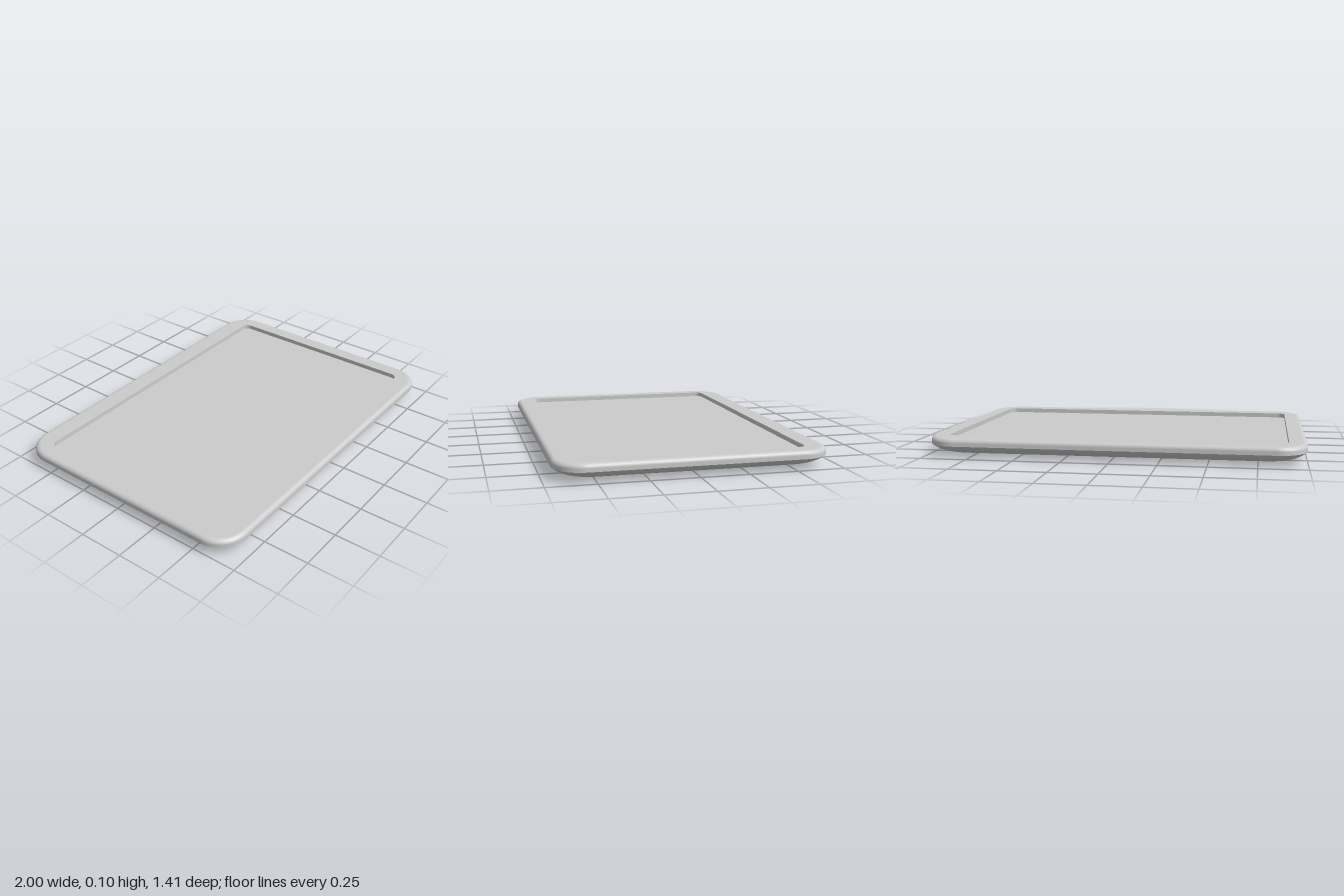
import * as THREE from 'three';

const STEPS = 12; // segments per rounded corner

// Closed rounded-rectangle loop: half width, half depth, corner radius, height
function ring(hw, hd, r, y) {
  const pts = [];
  for (let c = 0; c < 4; c++) {
    const sx = c === 0 || c === 3 ? 1 : -1;
    const sz = c < 2 ? 1 : -1;
    for (let i = 0; i <= STEPS; i++) {
      const a = (c + i / STEPS) * Math.PI / 2;
      pts.push([sx * (hw - r) + r * Math.cos(a), y, sz * (hd - r) + r * Math.sin(a)]);
    }
  }
  return pts;
}

// Skin consecutive loops; optionally close the first or last one with a fan
function loft(rings, capStart = false, capEnd = false) {
  const n = rings[0].length;
  const pos = rings.flat(2);
  const idx = [];
  for (let k = 0; k < rings.length - 1; k++) {
    for (let i = 0; i < n; i++) {
      const j = (i + 1) % n;
      const a = k * n + i, b = k * n + j, c = a + n, d = b + n;
      idx.push(a, c, b, b, c, d);
    }
  }
  let centre = rings.length * n;
  const cap = (k, flip) => {
    pos.push(0, rings[k][0][1], 0);
    for (let i = 0; i < n; i++) {
      const a = k * n + i, b = k * n + (i + 1) % n;
      if (flip) idx.push(a, centre, b);
      else idx.push(centre, a, b);
    }
    centre++;
  };
  if (capStart) cap(0, false);
  if (capEnd) cap(rings.length - 1, true);
  const g = new THREE.BufferGeometry();
  g.setAttribute('position', new THREE.Float32BufferAttribute(pos, 3));
  g.setIndex(idx);
  g.computeVertexNormals();
  return g;
}

export function createModel() {
  const group = new THREE.Group();
  const material = new THREE.MeshStandardMaterial({ color: 0xcccccc });
  const add = (name, geometry) => {
    const mesh = new THREE.Mesh(geometry, material);
    mesh.name = name;
    group.add(mesh);
  };

  const W = 1, D = 0.703, R = 0.155, TOP = 0.1, SEAM = 0.058, FLOOR = 0.075;
  const inset = (d, y) => ring(W - d, D - d, R - d * 0.5, y);

  // Back shell: flat underside curving up to the seam
  const curve = new THREE.QuadraticBezierCurve(
    new THREE.Vector2(0.21, 0), new THREE.Vector2(0.06, 0), new THREE.Vector2(0, SEAM));
  add('backShell', loft(curve.getPoints(14).map(p => inset(p.x, p.y)), true));

  // Front bezel edge: short upright band rolling over to the top
  const edge = [inset(0, SEAM)];
  const roll = 0.024;
  for (let i = 0; i <= 8; i++) {
    const a = i / 8 * Math.PI / 2;
    edge.push(inset(roll * (1 - Math.cos(a)), TOP - roll * (1 - Math.sin(a))));
  }
  add('bezelEdge', loft(edge));

  // Flat bezel face, recess wall and sunken screen
  const opening = y => ring(0.905, 0.585, 0.04, y);
  add('bezelFace', loft([inset(roll, TOP), opening(TOP)]));
  add('recessWall', loft([opening(TOP), opening(FLOOR)]));
  add('screen', loft([opening(FLOOR)], false, true));

  return group;
}
